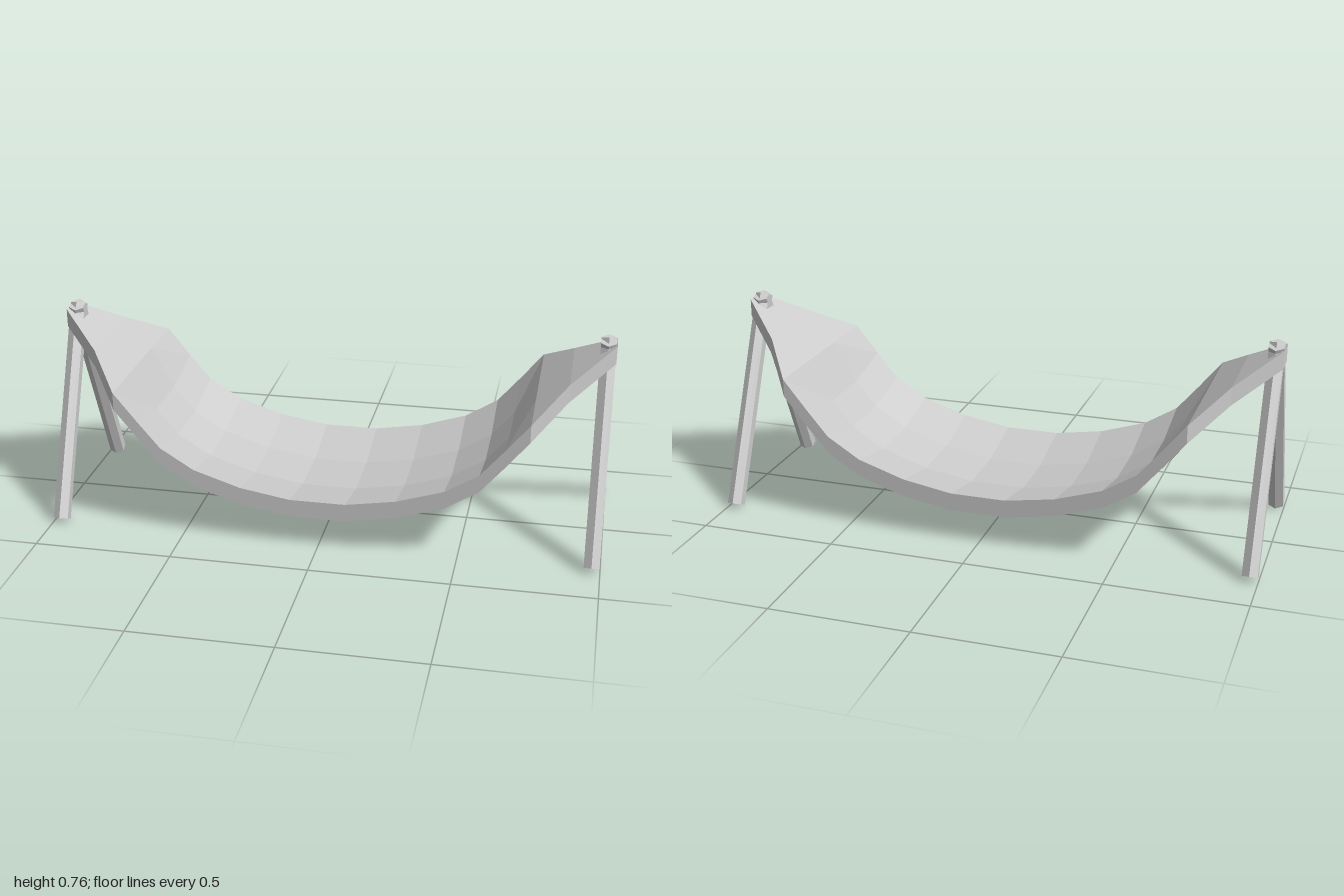
import * as THREE from 'three';

const material = new THREE.MeshStandardMaterial({ color: 0xcccccc, flatShading: true, side: THREE.DoubleSide });

// Half of the sling: x, underside height at the rim, half width, sag of the middle strip
const HALF = [
  [0.1, 0.12, 0.335, 0.045],
  [0.28, 0.15, 0.335, 0.045],
  [0.45, 0.205, 0.335, 0.045],
  [0.57, 0.28, 0.335, 0.045],
  [0.65, 0.375, 0.335, 0.045],
  [0.735, 0.48, 0.335, 0],
  [0.85, 0.573, 0.18, 0],
  [1.0, 0.673, 0.043, 0],
];
const THICKNESS = 0.065;

// Closed eight-point section: top from +z to -z, then underside back again
function section([x, y, w, sag]) {
  const strip = [[w, 0], [w / 3, sag], [-w / 3, sag], [-w, 0]];
  const top = strip.map(([z, s]) => [x, y - s + THICKNESS, z]);
  const under = strip.map(([z, s]) => [x, y - s, z]).reverse();
  return [...top, ...under];
}

function slingGeometry() {
  const mirrored = HALF.map(([x, ...rest]) => [-x, ...rest]).reverse();
  const rings = [...mirrored, ...HALF].map(section);
  const positions = [];
  const quad = (a, b, c, d) => positions.push(...a, ...b, ...c, ...a, ...c, ...d);

  for (let i = 0; i < rings.length - 1; i++) {
    const r = rings[i], s = rings[i + 1];
    for (let j = 0; j < 8; j++) {
      const k = (j + 1) % 8;
      quad(r[j], s[j], s[k], r[k]);
    }
  }
  // End caps
  const first = rings[0], last = rings[rings.length - 1];
  for (let j = 0; j < 3; j++) {
    quad(first[j], first[j + 1], first[6 - j], first[7 - j]);
    quad(last[7 - j], last[6 - j], last[j + 1], last[j]);
  }
  const geometry = new THREE.BufferGeometry();
  geometry.setAttribute('position', new THREE.Float32BufferAttribute(positions, 3));
  geometry.computeVertexNormals();
  return geometry;
}

// Hexagonal pole leaning from its foot to just past the crossing
function leg(x, side) {
  const foot = new THREE.Vector3(x, 0.016, side * 0.317);
  const tip = new THREE.Vector3(x, 0.747, side * -0.011);
  const axis = tip.clone().sub(foot);
  const mesh = new THREE.Mesh(new THREE.CylinderGeometry(0.0315, 0.0315, axis.length(), 6), material);
  mesh.position.copy(foot).add(tip).multiplyScalar(0.5);
  mesh.rotation.x = Math.atan2(axis.z, axis.y);
  mesh.name = side > 0 ? 'frontLeg' : 'backLeg';
  return mesh;
}

export function createModel() {
  const group = new THREE.Group();
  group.name = 'hammock';

  const sling = new THREE.Mesh(slingGeometry(), material);
  sling.name = 'sling';
  group.add(sling);

  // A crossed pair of legs at each end
  for (const end of [1, -1]) {
    const stand = new THREE.Group();
    stand.name = end > 0 ? 'leftStand' : 'rightStand';
    stand.add(leg(end * 0.97, 1), leg(end * 0.97, -1));
    group.add(stand);
  }
  return group;
}
